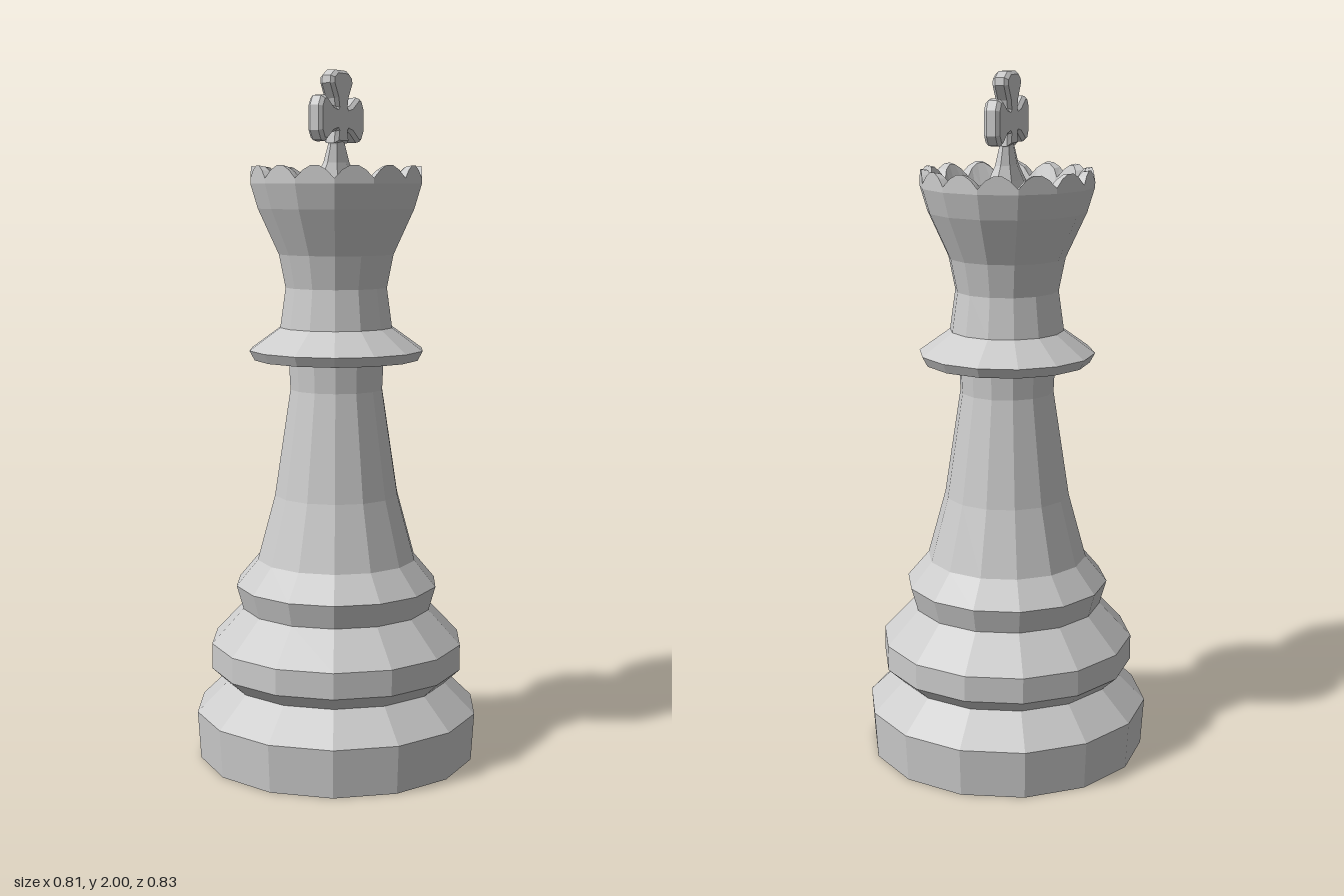
import * as THREE from 'three';

const SIDES = 14;
const material = new THREE.MeshStandardMaterial({ color: 0xcccccc, flatShading: true });

function part(name, geometry) {
  const mesh = new THREE.Mesh(geometry, material);
  mesh.name = name;
  return mesh;
}

// Faceted turned part from [radius, height] pairs, listed bottom to top
function turned(profile, sides = SIDES) {
  return new THREE.LatheGeometry(profile.map(([r, y]) => new THREE.Vector2(r, y)), sides);
}

// Scalloped rim: each side carries one rounded lobe, with notches at the corners
function scallopedRim() {
  const lobe = [0, 0.6, 0.93, 0.93, 0.6, 0];
  const steps = lobe.length - 1;
  const columns = SIDES * steps;
  const positions = [], index = [];
  for (let i = 0; i <= columns; i++) {
    const side = Math.floor(i / steps), k = i % steps;
    const a = (side / SIDES) * Math.PI * 2, b = ((side + 1) / SIDES) * Math.PI * 2;
    const t = k / steps;
    const dx = THREE.MathUtils.lerp(Math.sin(a), Math.sin(b), t);
    const dz = THREE.MathUtils.lerp(Math.cos(a), Math.cos(b), t);
    const h = lobe[k];
    // outer foot, outer crest, inner crest, inner foot
    const section = [[0.249, 1.68], [0.249, 1.695 + 0.038 * h], [0.208 + 0.022 * h, 1.69 + 0.04 * h], [0.204, 1.665]];
    for (const [r, y] of section) positions.push(dx * r, y, dz * r);
    if (i < columns) {
      for (let j = 0; j < 3; j++) {
        const p = i * 4 + j, q = p + 4;
        index.push(p, q, p + 1, q, q + 1, p + 1);
      }
    }
  }
  const geometry = new THREE.BufferGeometry();
  geometry.setAttribute('position', new THREE.Float32BufferAttribute(positions, 3));
  geometry.setIndex(index);
  geometry.computeVertexNormals();
  return geometry;
}

// Four flared arms with rounded ends, drawn by turning one arm outline
function crossGeometry() {
  const arm = [[-0.024, 0.032], [-0.03, 0.06], [-0.055, 0.1], [-0.053, 0.114], [-0.032, 0.127],
    [0.032, 0.127], [0.053, 0.114], [0.055, 0.1], [0.03, 0.06], [0.024, 0.032]];
  const points = [];
  for (let q = 0; q < 4; q++) {
    const c = Math.cos(-q * Math.PI / 2), s = Math.sin(-q * Math.PI / 2);
    for (const [x, y] of arm) {
      if (q === 2 && y > 0.07) continue; // lower arm runs into the foot
      points.push(new THREE.Vector2(x * c - y * s, x * s + y * c));
    }
  }
  const geometry = new THREE.ExtrudeGeometry(new THREE.Shape(points), {
    depth: 0.026, bevelEnabled: true, bevelThickness: 0.01, bevelSize: 0.009, bevelSegments: 1,
  });
  geometry.translate(0, 0, -0.013);
  geometry.rotateY(Math.PI / 2);
  geometry.translate(0, 1.862, 0);
  return geometry;
}

export function createModel() {
  const model = new THREE.Group();
  model.name = 'chessKing';

  // Stepped base
  model.add(part('base', turned([
    [0, 0], [0.408, 0], [0.417, 0.14], [0.327, 0.228], [0.372, 0.27], [0.372, 0.345],
    [0.278, 0.445], [0.298, 0.515], [0.235, 0.59],
  ])));

  // Tapering stem
  model.add(part('stem', turned([[0.235, 0.59], [0.183, 0.78], [0.136, 1.09], [0.14, 1.175]])));

  // Collar ring
  model.add(part('collar', turned([[0.14, 1.175], [0.24, 1.177], [0.255, 1.205], [0.165, 1.27]])));

  // Flaring head
  model.add(part('head', turned([[0.165, 1.27], [0.149, 1.385], [0.168, 1.48], [0.228, 1.61], [0.249, 1.68]])));

  // Crown rim and the shallow floor within it
  model.add(part('crownRim', scallopedRim()));
  model.add(part('crownFloor', turned([[0.204, 1.665], [0, 1.685]])));

  // Finial: flared oval foot carrying the cross
  const foot = part('crossFoot', turned([[0.105, 1.675], [0.085, 1.7], [0.055, 1.74], [0.036, 1.79], [0.03, 1.83], [0, 1.83]], 8));
  foot.scale.x = 0.56;
  model.add(foot);
  model.add(part('cross', crossGeometry()));

  return model;
}
